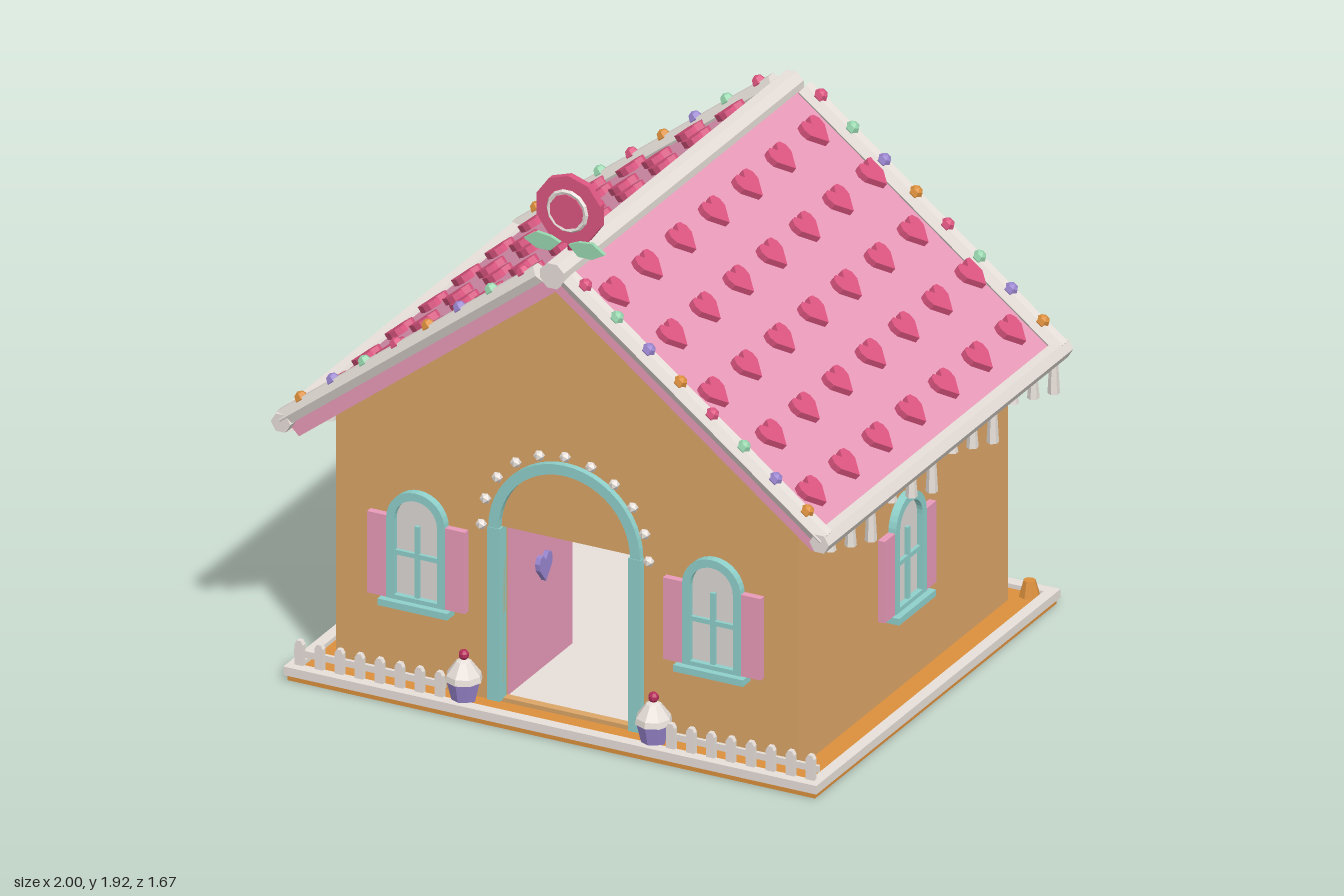
import * as THREE from 'three';

const PALETTE = {
  gingerbread: 0xdba566, caramel: 0xdb8f3c, icing: 0xece4de, pink: 0xe79ab8, rose: 0xdb5580,
  teal: 0x8fd0ca, lilac: 0x9a86cf, mint: 0x98d6ae, cherry: 0xb82e5c, glass: 0xddd8d4,
};
const SLOPE = 0.77, ANGLE = Math.atan(SLOPE);
const SIN = Math.sin(ANGLE), COS = Math.cos(ANGLE);
const V = (x, y, z) => new THREE.Vector3(x, y, z);

export function createModel() {
  const mats = {};
  for (const [name, hex] of Object.entries(PALETTE)) {
    mats[name] = new THREE.MeshStandardMaterial({ color: hex });
    mats[name].name = name;
  }
  const root = new THREE.Group();
  root.name = 'gingerbreadHouse';

  // Faceted mesh added to a parent
  function add(parent, name, geo, mat, x = 0, y = 0, z = 0) {
    const g = geo.index ? geo.toNonIndexed() : geo;
    g.computeVertexNormals();
    const m = new THREE.Mesh(g, mats[mat]);
    m.name = name;
    m.position.set(x, y, z);
    parent.add(m);
    return m;
  }
  const group = (parent, name) => {
    const g = new THREE.Group();
    g.name = name;
    parent.add(g);
    return g;
  };
  // Box given by its limits
  const box = (parent, name, mat, x0, x1, y0, y1, z0, z1) =>
    add(parent, name, new THREE.BoxGeometry(x1 - x0, y1 - y0, z1 - z0), mat, (x0 + x1) / 2, (y0 + y1) / 2, (z0 + z1) / 2);
  const poly = (pts) => new THREE.Shape(pts.map((p) => new THREE.Vector2(p[0], p[1])));
  const extrude = (shape, depth, curveSegments = 5) =>
    new THREE.ExtrudeGeometry(shape, { depth, bevelEnabled: false, curveSegments });
  // Faceted rod between two points
  function rod(parent, name, mat, a, b, r, sides, turn = 0) {
    const m = add(parent, name, new THREE.CylinderGeometry(r, r, a.distanceTo(b), sides).rotateY(turn), mat);
    m.position.copy(a).add(b).multiplyScalar(0.5);
    m.quaternion.setFromUnitVectors(V(0, 1, 0), b.clone().sub(a).normalize());
    return m;
  }
  function heart(w, h, d) {
    const s = new THREE.Shape();
    s.moveTo(0, -h * 0.5);
    s.lineTo(w * 0.45, -h * 0.02);
    s.bezierCurveTo(w * 0.62, h * 0.3, w * 0.25, h * 0.72, 0, h * 0.24);
    s.bezierCurveTo(-w * 0.25, h * 0.72, -w * 0.62, h * 0.3, -w * 0.45, -h * 0.02);
    return extrude(s, d, 4);
  }
  function archShape(w, y0, spring, Type = THREE.Shape) {
    const s = new Type();
    s.moveTo(-w, y0);
    s.lineTo(w, y0);
    s.lineTo(w, spring);
    s.absarc(0, spring, w, 0, Math.PI, false);
    s.lineTo(-w, y0);
    return s;
  }

  // Base board with icing rim and floor
  const base = group(root, 'base');
  box(base, 'board', 'caramel', -0.945, 0.945, 0, 0.035, -0.82, 0.82);
  for (const s of [-1, 1]) {
    box(base, 'rimLong', 'icing', -0.955, 0.955, 0.02, 0.05, s * 0.81 - 0.02, s * 0.81 + 0.02);
    box(base, 'rimShort', 'icing', s * 0.935 - 0.02, s * 0.935 + 0.02, 0.02, 0.05, -0.79, 0.79);
  }
  box(base, 'floor', 'icing', -0.8, 0.8, 0.035, 0.045, -0.68, 0.7);

  // Walls
  const walls = group(root, 'walls');
  const gable = () => poly([[-0.83, 0.03], [0.83, 0.03], [0.83, 0.92], [0, 1.56], [-0.83, 0.92]]);
  const front = gable();
  front.holes.push(new THREE.Path([[-0.23, 0.05], [-0.23, 0.65], [0.23, 0.65], [0.23, 0.05]].map((p) => new THREE.Vector2(...p))));
  add(walls, 'frontWall', extrude(front, 0.03), 'gingerbread', 0, 0, 0.68);
  add(walls, 'backWall', extrude(gable(), 0.03), 'gingerbread', 0, 0, -0.71);
  for (const s of [-1, 1]) box(walls, 'sideWall', 'gingerbread', s * 0.815 - 0.015, s * 0.815 + 0.015, 0.03, 0.92, -0.68, 0.68);

  // Roof
  const roof = group(root, 'roof');
  const candies = ['rose', 'mint', 'lilac', 'caramel'];
  for (const s of [-1, 1]) {
    const slab = poly([[0, 1.555], [s * 0.92, 0.847], [s * 0.97, 0.898], [0, 1.645]]);
    add(roof, 'roofSlab', extrude(slab, 1.58), 'pink', 0, 0, -0.79);
    rod(roof, 'eaveIcing', 'icing', V(s * 0.965, 0.9, -0.83), V(s * 0.965, 0.9, 0.83), 0.035, 6, Math.PI / 2);
    // Hearts in staggered rows
    const basis = new THREE.Matrix4().makeBasis(V(0, 0, -s), V(-s * COS, SIN, 0), V(s * SIN, COS, 0));
    [0.145, 0.32, 0.5, 0.675, 0.85].forEach((x, row) => {
      for (let i = -3; i <= 3; i++) {
        const h = add(roof, 'roofHeart', heart(0.105, 0.11, 0.03), 'rose');
        h.quaternion.setFromRotationMatrix(basis);
        h.position.set(s * x, 1.637 - SLOPE * x, i * 0.226 - (row % 2 ? 0.06 : 0));
      }
    });
    // Rake icing with candies
    for (const z of [-0.8, 0.8]) {
      rod(roof, 'rakeIcing', 'icing', V(s * 0.05, 1.617, z), V(s * 0.97, 0.908, z), 0.033, 6);
      for (let i = 0; i < 8; i++) {
        const x = 0.11 + i * 0.1136;
        const c = add(roof, 'candy', new THREE.SphereGeometry(0.025, 6, 4), candies[i % 4], s * x, 1.69 - 0.775 * x, z);
        c.rotation.z = -s * ANGLE;
      }
    }
    // Icing drips
    for (let i = 0; i < 12; i++) {
      const len = [0.03, 0.07, 0.11][i % 3];
      add(roof, 'drip', new THREE.CylinderGeometry(0.014, 0.02, len, 6), 'icing', s * 0.968, 0.88 - len / 2, 0.76 - i * 0.138);
    }
  }
  rod(roof, 'ridgeIcing', 'icing', V(0, 1.62, -0.815), V(0, 1.62, 0.815), 0.046, 8, Math.PI / 8);

  // Candy flower on the ridge
  const flower = group(root, 'candyFlower');
  rod(flower, 'stem', 'cherry', V(0, 1.64, 0.69), V(0, 1.74, 0.69), 0.01, 6);
  const disc = (name, mat, r, d, z) => add(flower, name, new THREE.CylinderGeometry(r, r, d, 10).rotateX(Math.PI / 2), mat, 0, 1.805, z);
  disc('petalDisc', 'rose', 0.12, 0.025, 0.692);
  disc('centreDisc', 'rose', 0.06, 0.02, 0.71);
  add(flower, 'icingRing', new THREE.TorusGeometry(0.066, 0.009, 5, 14), 'icing', 0, 1.805, 0.71);
  for (const s of [-1, 1]) {
    const leaf = poly([[s * 0.015, 1.7], [s * 0.05, 1.665], [s * 0.1, 1.665], [s * 0.145, 1.69], [s * 0.1, 1.72], [s * 0.05, 1.715]]);
    add(flower, 'leaf', extrude(leaf, 0.014), 'mint', 0, 0, 0.72);
  }

  // Door arch, beads and open door
  const entry = group(root, 'entrance');
  for (const s of [-1, 1]) box(entry, 'doorPost', 'teal', s * 0.2525 - 0.0225, s * 0.2525 + 0.0225, 0.045, 0.65, 0.69, 0.735);
  const ring = new THREE.Shape();
  ring.absarc(0, 0.65, 0.272, 0, Math.PI, false);
  ring.absarc(0, 0.65, 0.236, Math.PI, 0, true);
  add(entry, 'doorArch', extrude(ring, 0.04, 12), 'teal', 0, 0, 0.693);
  for (let i = 0; i <= 10; i++) {
    const a = (i * Math.PI) / 10;
    add(entry, 'bead', new THREE.IcosahedronGeometry(0.019, 0), 'icing', 0.3 * Math.cos(a), 0.65 + 0.3 * Math.sin(a), 0.727);
  }
  box(entry, 'door', 'pink', -0.245, -0.225, 0.05, 0.645, 0.25, 0.68);
  add(entry, 'doorHeart', heart(0.09, 0.1, 0.018), 'lilac', -0.226, 0.41, 0.46).rotation.y = Math.PI / 2;

  // Bed inside
  const bed = group(root, 'bed');
  box(bed, 'footBoard', 'gingerbread', 0.2, 0.235, 0.045, 0.31, -0.3, 0.1);
  box(bed, 'mattress', 'pink', 0.235, 0.7, 0.08, 0.18, -0.28, 0.08);
  box(bed, 'bench', 'caramel', 0.12, 0.2, 0.212, 0.235, -0.2, 0);

  // Windows with shutters
  function makeWindow(x, z, turn) {
    const w = group(root, 'window');
    w.position.set(x, 0, z);
    w.rotation.y = turn;
    const frame = archShape(0.105, 0.32, 0.605);
    frame.holes.push(archShape(0.077, 0.34, 0.605, THREE.Path));
    add(w, 'frame', extrude(frame, 0.028, 8), 'teal');
    add(w, 'pane', extrude(archShape(0.08, 0.335, 0.605), 0.008, 8), 'glass');
    box(w, 'sill', 'teal', -0.125, 0.125, 0.302, 0.325, 0, 0.05);
    box(w, 'uprightBar', 'teal', -0.008, 0.008, 0.335, 0.59, 0, 0.02);
    box(w, 'crossBar', 'teal', -0.078, 0.078, 0.478, 0.494, 0, 0.02);
    for (const s of [-1, 1]) box(w, 'shutter', 'pink', s * 0.14 - 0.035, s * 0.14 + 0.035, 0.325, 0.61, 0, 0.025);
  }
  for (const s of [-1, 1]) {
    makeWindow(s * 0.53, 0.71, 0);
    makeWindow(s * 0.53, -0.71, Math.PI);
    makeWindow(s * 0.83, 0, (s * Math.PI) / 2);
  }

  // Hearts on the back wall
  for (const [x, size] of [[-0.19, 0.095], [0, 0.135], [0.19, 0.095]])
    add(root, 'wallHeart', heart(size, size, 0.02), 'rose', x, 0.21, -0.709).rotation.y = Math.PI;

  for (const s of [-1, 1]) {
    // Fence
    const fence = group(root, 'fence');
    box(fence, 'rail', 'icing', Math.min(s * 0.4, s * 0.94), Math.max(s * 0.4, s * 0.94), 0.075, 0.098, 0.775, 0.787);
    for (let i = 0; i < 8; i++) {
      const picket = poly([[-0.015, 0.045], [0.015, 0.045], [0.015, 0.122], [0.007, 0.136], [-0.007, 0.136], [-0.015, 0.122]]);
      add(fence, 'picket', extrude(picket, 0.018), 'icing', s * (0.415 + i * 0.0715), 0, 0.782);
    }
    // Cupcake
    const cake = group(root, 'cupcake');
    cake.position.set(s * 0.34, 0, 0.77);
    add(cake, 'cup', new THREE.CylinderGeometry(0.058, 0.04, 0.075, 8), 'lilac', 0, 0.0825, 0);
    const icing = [[0, 0.11], [0.062, 0.115], [0.058, 0.135], [0.025, 0.18], [0, 0.19]].map((p) => new THREE.Vector2(...p));
    add(cake, 'frosting', new THREE.LatheGeometry(icing, 8), 'icing');
    add(cake, 'cherry', new THREE.SphereGeometry(0.018, 7, 5), 'cherry', 0, 0.202, 0);
    // Gumdrop on the back corner
    add(root, 'gumdrop', new THREE.CylinderGeometry(0.02, 0.035, 0.055, 8), s > 0 ? 'caramel' : 'lilac', s * 0.875, 0.062, -0.77);
  }
  return root;
}
